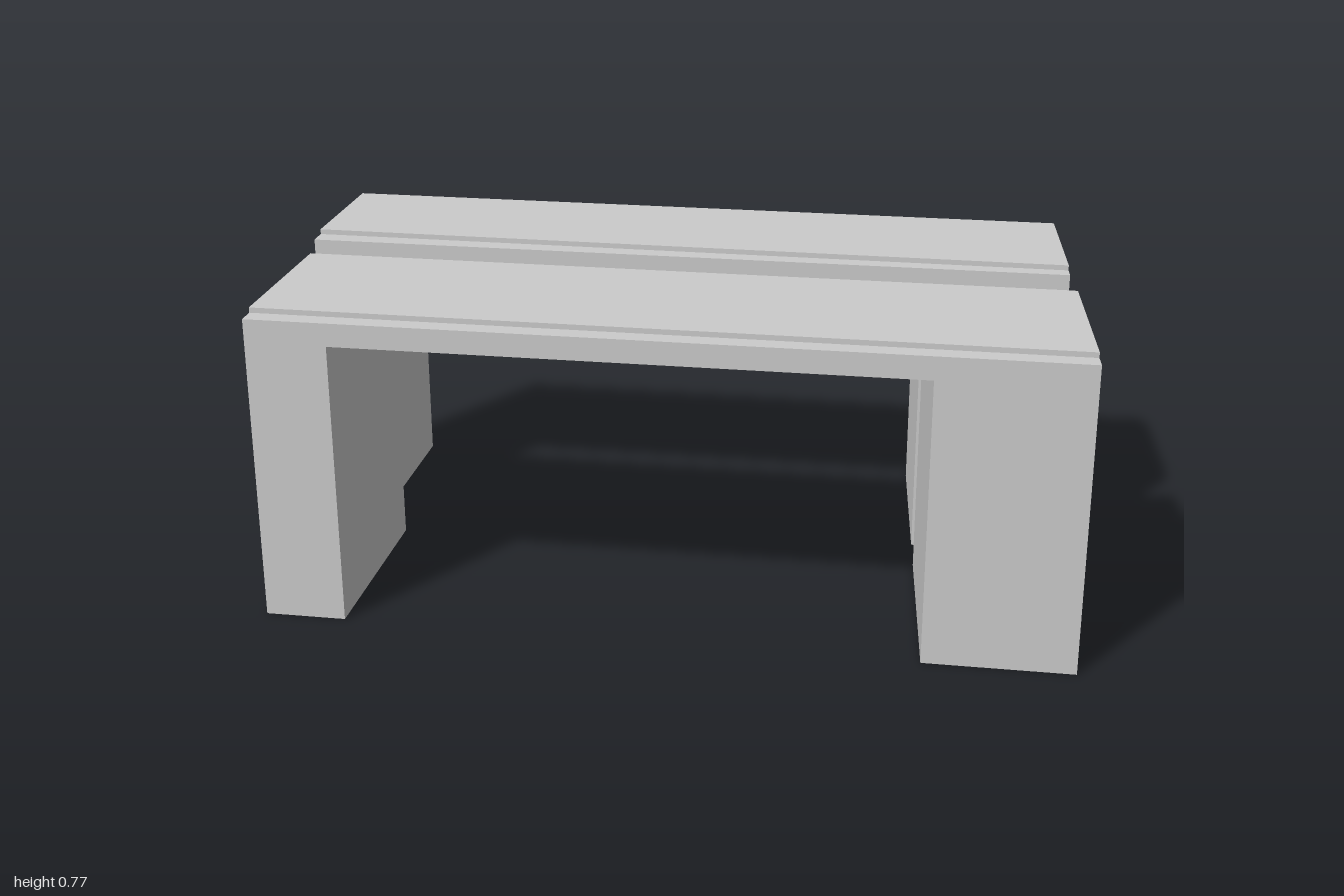
import * as THREE from 'three';

const material = new THREE.MeshStandardMaterial({ color: 0xcccccc, flatShading: true });
const LEDGE = 0.762, TOP = 0.775, UNDERSIDE = 0.705, LEG = 0.36;
// the +x ends of both blocks share one slanted plane
const endX = z => 0.952 + 0.0875 * z;

function polygon(points) {
  return new THREE.Shape(points.map(([x, y]) => new THREE.Vector2(x, y)));
}

function extrude(points, depth) {
  return new THREE.ExtrudeGeometry(polygon(points), { depth, bevelEnabled: false });
}

// One bridge-shaped block: two legs joined by a slab, with a raised strip on top
function bridge(name, { xMin, legInner, zBack, zFront, strip }) {
  const group = new THREE.Group();
  group.name = name;

  // Arch outline run from back to front, its +x leg sheared to the slanted plane
  const archGeo = extrude([
    [xMin, 0], [legInner, 0], [legInner, UNDERSIDE], [endX(0) - LEG, UNDERSIDE],
    [endX(0) - LEG, 0], [endX(0), 0], [endX(0), LEDGE], [xMin, LEDGE],
  ], zFront - zBack);
  archGeo.translate(0, 0, zBack);
  const p = archGeo.attributes.position;
  for (let i = 0; i < p.count; i++) {
    if (p.getX(i) > 0) p.setX(i, p.getX(i) + endX(p.getZ(i)) - endX(0));
  }
  archGeo.computeVertexNormals();
  const arch = new THREE.Mesh(archGeo, material);
  arch.name = 'legsAndSlab';

  // Raised strip, drawn in plan and lifted onto the slab
  const [backA, backB, front] = strip; // back edge at -x, back edge at +x, front edge
  const corners = [[xMin, front[0]], [endX(front[1]), front[1]], [endX(backB), backB], [xMin, backA]];
  const stripGeo = extrude(corners.map(([x, z]) => [x, -z]), TOP - LEDGE);
  stripGeo.rotateX(-Math.PI / 2).translate(0, LEDGE, 0);
  const raised = new THREE.Mesh(stripGeo, material);
  raised.name = 'raisedTopStrip';

  group.add(arch, raised);
  return group;
}

export function createModel() {
  const model = new THREE.Group();
  model.name = 'pairedBridgeBlocks';
  model.add(
    bridge('frontBridge', {
      xMin: -0.955, legInner: -0.757, zBack: 0.03, zFront: 0.549,
      strip: [0.067, 0.073, [0.502, 0.503]],
    }),
    bridge('backBridge', {
      xMin: -1, legInner: -0.847, zBack: -0.549, zFront: -0.092,
      strip: [-0.504, -0.504, [-0.143, -0.131]],
    }),
  );
  return model;
}
